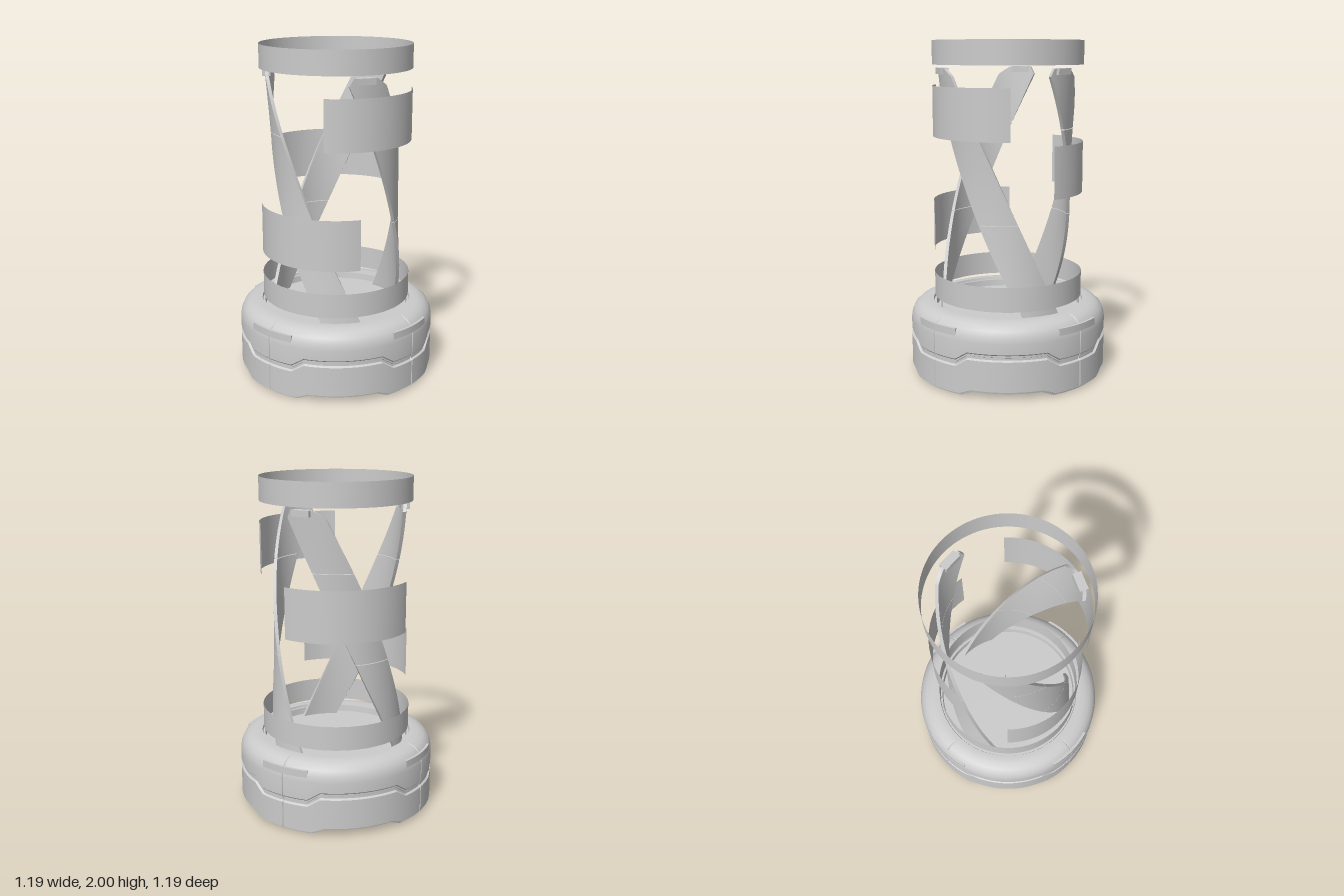
import * as THREE from 'three';
import { toCreasedNormals } from 'three/addons/utils/BufferGeometryUtils.js';

const rad = THREE.MathUtils.degToRad;
const solid = new THREE.MeshStandardMaterial({ color: 0xcccccc });
const thin = new THREE.MeshStandardMaterial({ color: 0xcccccc, side: THREE.DoubleSide });

function add(parent, name, geometry, material = solid) {
  const mesh = new THREE.Mesh(geometry, material);
  mesh.name = name;
  parent.add(mesh);
  return mesh;
}

// Angle t is in degrees, from +x towards +z. Value a near the axes, b near the diagonals.
function alternate(t, start, end, a, b) {
  const q = t % 90;
  const d = Math.min(q, 90 - q);
  return THREE.MathUtils.lerp(a, b, THREE.MathUtils.clamp((d - start) / (end - start), 0, 1));
}

// Base shell: one open skin with stepped foot, wavy groove and four vertical seams
function shellGeometry() {
  const foot = t => alternate(t, 20, 27.5, 0.03, 0);
  const wave = t => alternate(t, 22.5, 30, 0.25, 0.2);
  // rows: radius, height, height rule, has seam
  const rows = [
    [0.555, 0.004, foot], [0.572, 0, foot], [0.575, 0.012, foot], [0.595, 0.018, foot, true],
    [0.595, -0.024, wave, true], [0.583, -0.016, wave, true], [0.583, -0.002, wave, true],
    [0.589, 0.001, wave, true], [0.589, 0.012, wave, true], [0.595, 0.019, wave, true],
    [0.595, 0.33, null, true], [0.59, 0.365, null, true], [0.575, 0.398, null, true],
    [0.548, 0.423, null, true], [0.512, 0.437, null, true], [0.475, 0.44, null, true],
    [0.459, 0.44], [0.455, 0.425], [0.442, 0.425], [0.438, 0.385]
  ];
  const angles = [];
  for (let q = 0; q < 360; q += 90) {
    for (let a = 0; a < 90; a += 2.5) {
      if (a === 45) angles.push(q + 44.6, q + 45, q + 45.4);
      else angles.push(q + a);
    }
  }
  const n = angles.length;
  const pos = [], index = [];
  rows.forEach(([r, y, rule, seam], i) => {
    angles.forEach((t, j) => {
      const R = seam && t % 90 === 45 ? r - 0.007 : r;
      pos.push(R * Math.cos(rad(t)), y + (rule ? rule(t) : 0), R * Math.sin(rad(t)));
      if (i === rows.length - 1) return;
      const a = i * n + j, b = i * n + (j + 1) % n;
      index.push(a, a + n, b, b, a + n, b + n);
    });
  });
  const g = new THREE.BufferGeometry();
  g.setAttribute('position', new THREE.Float32BufferAttribute(pos, 3));
  g.setIndex(index);
  return toCreasedNormals(g, rad(28));
}

// Helical strut: a thin box wound round the axis, narrowest at mid height
const Y0 = 0.385, Y1 = 1.84;
function strutGeometry(y0, y1) {
  const half = 0.115;
  const g = new THREE.BoxGeometry(2 * half, y1 - y0, 0.02, 10, 14, 1);
  const p = g.attributes.position;
  for (let i = 0; i < p.count; i++) {
    const x = p.getX(i);
    const cut = Math.max(0, Math.abs(x) / half - 0.6) / 0.4;
    const y = Math.min(p.getY(i) + (y0 + y1) / 2, Y1 - 0.045 * cut);
    const f = (y - Y0) / (Y1 - Y0);
    const r = 0.405 - 0.04 * Math.sin(Math.PI * f);
    const t = rad(-32 + 103 * f) - x / r;
    const R = r + p.getZ(i);
    p.setXYZ(i, R * Math.cos(t), y, R * Math.sin(t));
  }
  return toCreasedNormals(g, rad(35));
}

// Curved bar that follows the shoulder of the base
function barGeometry() {
  const s = new THREE.Shape();
  s.absarc(0, 0, 0.592, rad(30), rad(60), false);
  s.absarc(0, 0, 0.535, rad(60), rad(30), true);
  const g = new THREE.ExtrudeGeometry(s, { depth: 0.042, bevelEnabled: false, curveSegments: 12 });
  g.rotateX(-Math.PI / 2);
  return toCreasedNormals(g, rad(30));
}

// Thin cylindrical band between two angles
function band(parent, name, y0, y1, from = 0, to = 360) {
  const segments = Math.ceil((to - from) / 4);
  const g = new THREE.CylinderGeometry(0.449, 0.449, y1 - y0, segments, 1, true, rad(90 - to), rad(to - from));
  add(parent, name, g, thin).position.y = (y0 + y1) / 2;
}

export function createModel() {
  const model = new THREE.Group();
  model.name = 'twistedStrutTower';

  // Base
  const base = new THREE.Group();
  base.name = 'base';
  model.add(base);
  add(base, 'baseShell', shellGeometry(), thin);
  const floor = add(base, 'baseFloor', new THREE.CircleGeometry(0.438, 96), thin);
  floor.rotation.x = -Math.PI / 2;
  floor.position.y = 0.385;
  const bar = barGeometry();
  for (let i = 0; i < 4; i++) {
    const m = add(base, 'shoulderBar', bar);
    m.position.y = 0.354;
    m.rotation.y = i * Math.PI / 2;
  }

  // Three struts, each in three lengths with narrow joints and a clip on top
  const lengths = [[Y0, 0.953], [0.957, 1.488], [1.492, Y1]].map(([a, b]) => strutGeometry(a, b));
  const clip = new THREE.BoxGeometry(0.11, 0.036, 0.05);
  for (let i = 0; i < 3; i++) {
    const strut = new THREE.Group();
    strut.name = 'strut';
    strut.rotation.y = i * Math.PI * 2 / 3;
    lengths.forEach(g => add(strut, 'strutLength', g));
    const c = add(strut, 'strutClip', clip);
    c.position.set(0.403 * Math.cos(rad(71)), 1.824, 0.403 * Math.sin(rad(71)));
    c.rotation.y = rad(19);
    model.add(strut);
  }

  // Full rings and partial bands
  band(model, 'lowerRing', 0.47, 0.615);
  band(model, 'topRing', 1.86, 2.0);
  band(model, 'lowBand', 0.753, 1.055, 76, 181);
  band(model, 'middleBand', 1.107, 1.41, -141, -36);
  band(model, 'highBand', 1.44, 1.738, -2, 103);

  return model;
}
